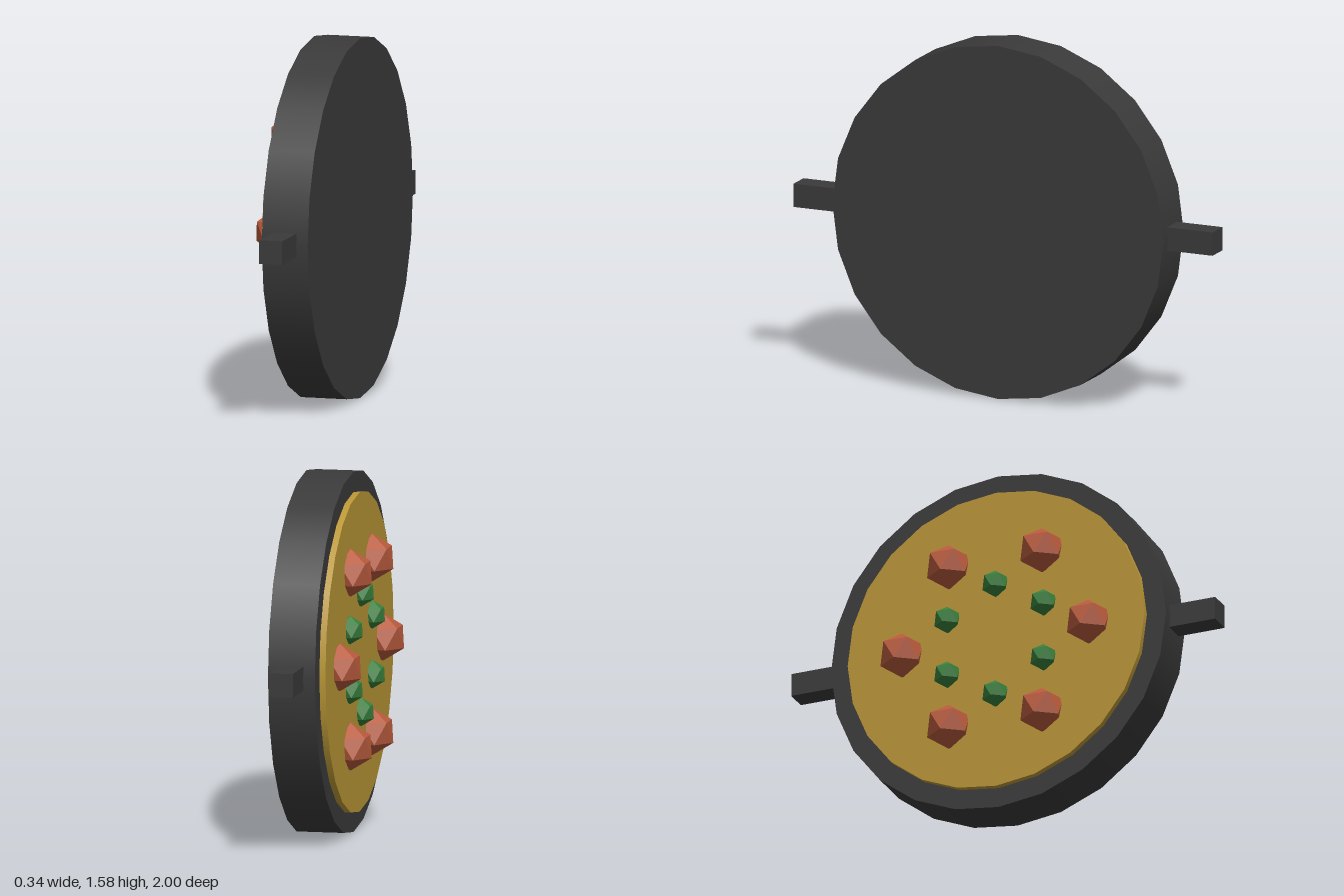
import * as THREE from 'three';

const CENTER_Y = 0.79;
const POLE_TILT = -Math.atan(2 / (1 + Math.sqrt(5))); // turns an icosahedron corner straight up

export function createModel() {
  const iron = new THREE.MeshStandardMaterial({ color: 0x3a3a3a });
  const filling = new THREE.MeshStandardMaterial({ color: 0xbc9836 });
  const red = new THREE.MeshStandardMaterial({ color: 0xb85a3c });
  const green = new THREE.MeshStandardMaterial({ color: 0x38803c });
  iron.name = 'dark iron';
  filling.name = 'golden yellow';
  red.name = 'brick red';
  green.name = 'leaf green';
  red.flatShading = green.flatShading = true;

  const group = new THREE.Group();
  group.name = 'pan';

  const add = (name, geometry, material, x, y, z) => {
    const mesh = new THREE.Mesh(geometry, material);
    mesh.name = name;
    mesh.position.set(x, y, z);
    group.add(mesh);
    return mesh;
  };

  // Disc standing upright, axis along x
  const disc = (name, radius, x0, x1, material) => {
    const geometry = new THREE.CylinderGeometry(radius, radius, x1 - x0, 24);
    geometry.rotateZ(Math.PI / 2);
    return add(name, geometry, material, (x0 + x1) / 2, CENTER_Y, 0);
  };
  disc('panBody', 0.79, -0.041, 0.167, iron);
  disc('filling', 0.7, -0.068, -0.03, filling);

  // Handles on both sides of the pan
  for (const side of [1, -1]) {
    add(side > 0 ? 'frontHandle' : 'backHandle',
      new THREE.BoxGeometry(0.104, 0.104, 0.28), iron, 0.063, CENTER_Y, side * 0.86);
  }

  // Rings of six faceted toppings
  const ring = (name, size, radius, startAngle, x, material) => {
    const geometry = new THREE.IcosahedronGeometry(size, 0);
    geometry.rotateZ(POLE_TILT);
    for (let i = 0; i < 6; i++) {
      const a = startAngle + (i * Math.PI) / 3;
      add(name + (i + 1), geometry, material, x,
        CENTER_Y + Math.sin(a) * radius, Math.cos(a) * radius);
    }
  };
  ring('redTopping', 0.105, 0.44, 0, -0.076, red);
  ring('greenTopping', 0.063, 0.262, Math.PI / 6, -0.075, green);

  return group;
}
